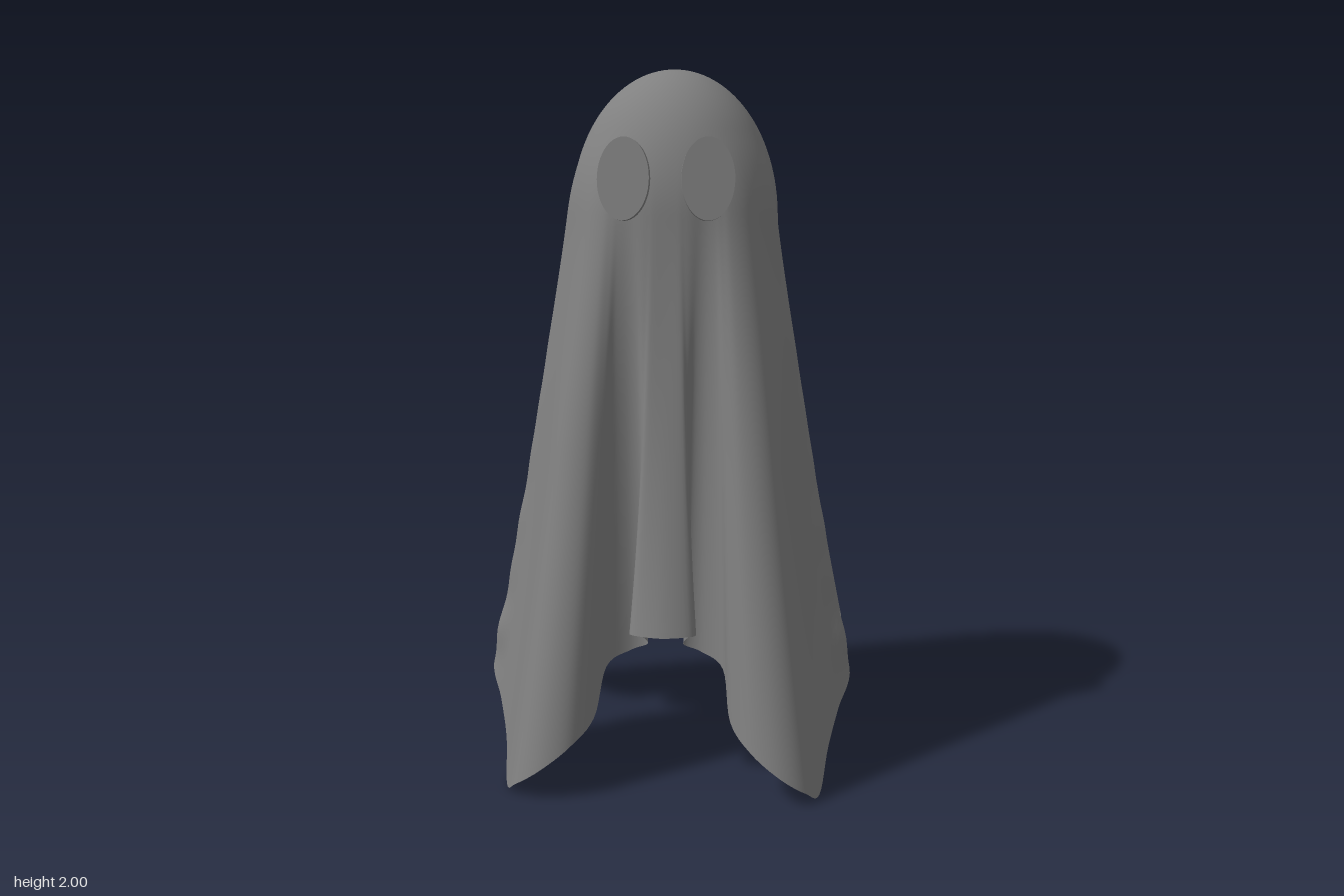
import * as THREE from 'three';

const material = new THREE.MeshStandardMaterial({ color: 0x808080, side: THREE.DoubleSide });
const { lerp, smoothstep, degToRad, radToDeg } = THREE.MathUtils;

const RADIUS = 0.296;   // head radius
const CENTRE_Z = -0.035;
const TOP = 2, NECK = 1.6;
const FLARE = 1.82;     // height where the cloth starts to spread

// Left half of the hem, front centre to back centre: x, z, y, and the angle on the head it hangs from
const HEM = [
  [0, 0.415, 0.45, 0],          // front fold
  [0.085, 0.39, 0.45, 6],
  [0.085, 0.33, 0.44, 10],
  [0.05, 0.275, 0.39, 17],
  [0.1, 0.265, 0.365, 21],
  [0.165, 0.31, 0.33, 25],
  [0.19, 0.40, 0.21, 29],       // front corner
  [0.25, 0.475, 0.15, 33],
  [0.33, 0.50, 0.09, 38],
  [0.40, 0.475, 0.04, 43],
  [0.44, 0.40, 0.005, 49],
  [0.465, 0.27, 0.09, 56],
  [0.495, 0.19, 0.18, 62],
  [0.53, 0.115, 0.28, 68],
  [0.45, 0.07, 0.39, 73],
  [0.32, 0.065, 0.46, 77],
  [0.295, 0.015, 0.53, 80],
  [0.37, 0.003, 0.55, 85],      // side fold
  [0.447, -0.012, 0.56, 89],
  [0.42, -0.088, 0.55, 94],
  [0.32, -0.06, 0.53, 99],
  [0.29, -0.12, 0.51, 104],
  [0.36, -0.145, 0.45, 108],
  [0.465, -0.15, 0.40, 113],    // back corner
  [0.51, -0.25, 0.33, 120],
  [0.505, -0.36, 0.26, 128],
  [0.45, -0.465, 0.20, 136],
  [0.35, -0.505, 0.20, 143],
  [0.24, -0.485, 0.29, 150],
  [0.175, -0.37, 0.43, 155],
  [0.13, -0.32, 0.55, 159],
  [0.05, -0.34, 0.66, 164],
  [0.08, -0.385, 0.71, 170],    // back fold
  [0.087, -0.455, 0.72, 174],
  [0, -0.49, 0.72, 180],
];

// One closed sheet: a dome above, draped columns running down to the hem below
function sheetGeometry(columns = 408, domeRows = 28, drapeRows = 60) {
  const mirrored = HEM.slice(1, -1).reverse().map(([x, z, y, a]) => [-x, z, y, -a]);
  const ring = [...HEM, ...mirrored];
  const closed = (points) => new THREE.CatmullRomCurve3(points, true, 'catmullrom', 0.5);
  const hem = closed(ring.map(([x, z, y]) => new THREE.Vector3(x, y, z)));
  const head = closed(ring.map(([, , , a]) => {
    const r = degToRad(a);
    return new THREE.Vector3(Math.sin(r), 0, Math.cos(r));
  }));

  const rows = domeRows + drapeRows;
  const positions = [], indices = [];
  for (let i = 0; i <= rows; i++) {
    const tilt = Math.min(1, i / domeRows) * Math.PI / 2;
    const drop = Math.max(0, i - domeRows) / drapeRows;
    for (let j = 0; j < columns; j++) {
      const end = hem.getPoint(j / columns);
      const dir = head.getPoint(j / columns).normalize();
      const angle = radToDeg(Math.atan2(Math.abs(dir.x), dir.z));
      const y = lerp(NECK + (TOP - NECK) * Math.cos(tilt), end.y, drop);
      const s = Math.max(0, (FLARE - y) / (FLARE - end.y));

      // the narrow folds at front, sides and back open lower down than the corners
      const fold = Math.max(...[0, 90, 180].map((c) => Math.exp(-(((angle - c) / 12) ** 2))));
      const w = Math.pow(s, 1.3 + 0.9 * fold);

      // the body turns from round to a rounded square below the head
      const square = Math.pow(Math.abs(dir.x) ** 3 + Math.abs(dir.z) ** 3, -1 / 3);
      const r = RADIUS * Math.sin(tilt) * lerp(1, square, smoothstep(s, 0, 0.5));

      // small crumples on the inner edge of the front corners
      const band = Math.max(0, 1 - Math.abs(angle - 71) / 9);
      const crumple = 0.008 * band * s ** 3 * (Math.sin(y * 37) + Math.sin(y * 21));
      positions.push(
        lerp(dir.x * r, end.x, w) + Math.sign(dir.x) * crumple * 0.5,
        y,
        lerp(CENTRE_Z + dir.z * r, end.z, w) + crumple);
    }
  }
  for (let i = 0; i < rows; i++) {
    for (let j = 0; j < columns; j++) {
      const k = (j + 1) % columns;
      const a = i * columns + j, b = i * columns + k;
      const c = a + columns, d = b + columns;
      if (i > 0) indices.push(a, c, b);
      indices.push(b, c, d);
    }
  }
  const geometry = new THREE.BufferGeometry();
  geometry.setAttribute('position', new THREE.Float32BufferAttribute(positions, 3));
  geometry.setIndex(indices);
  geometry.computeVertexNormals();
  // the tip is many coincident points, so give them one shared normal
  for (let j = 0; j < columns; j++) geometry.attributes.normal.setXYZ(j, 0, 1, 0);
  return geometry;
}

// Flat oval disc, leaning back and turned outwards with the face
function eye(side) {
  const geometry = new THREE.CylinderGeometry(1, 1, 0.016, 48).rotateX(Math.PI / 2);
  geometry.scale(0.073, 0.113, 1);
  const mesh = new THREE.Mesh(geometry, material);
  mesh.name = side > 0 ? 'leftEye' : 'rightEye';
  mesh.position.set(side * 0.115, 1.695, 0.26);
  mesh.rotation.set(-0.13, side * 0.15, 0);
  return mesh;
}

export function createModel() {
  const group = new THREE.Group();
  group.name = 'sheetGhost';
  const sheet = new THREE.Mesh(sheetGeometry(), material);
  sheet.name = 'sheet';
  group.add(sheet, eye(1), eye(-1));
  return group;
}
